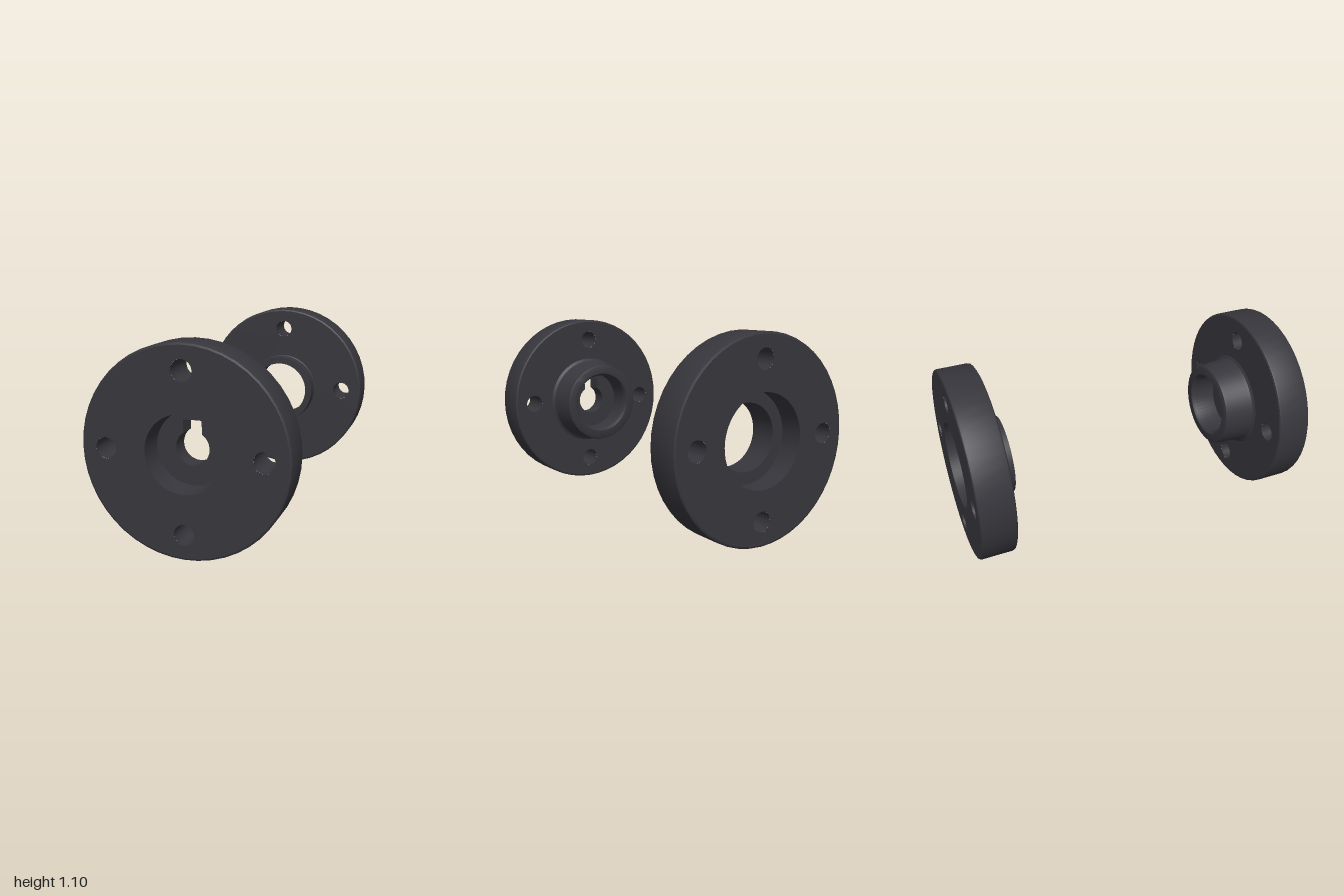
import * as THREE from 'three';
import { toCreasedNormals } from 'three/addons/utils/BufferGeometryUtils.js';

const R = 0.55, BEVEL = 0.012, BOLT_CIRCLE = 0.415, BOLT_R = 0.055, SEG = 48;
const material = new THREE.MeshStandardMaterial({ color: 0x37363c });

function mesh(name, geometry) {
  const m = new THREE.Mesh(geometry, material);
  m.name = name;
  return m;
}

// Profile points are (radius, z); revolved about the z axis
function turned(name, points, segments = SEG) {
  const g = new THREE.LatheGeometry(points.map(([r, z]) => new THREE.Vector2(r, z)), segments);
  g.rotateX(Math.PI / 2);
  return mesh(name, toCreasedNormals(g, 0.6));
}

function circle(r, x = 0, y = 0) {
  return new THREE.Path().absarc(x, y, r, 0, Math.PI * 2, true);
}

const boltCentres = [0, 1, 2, 3].map((i) => {
  const a = i * Math.PI / 2;
  return [BOLT_CIRCLE * Math.cos(a), BOLT_CIRCLE * Math.sin(a)];
});

// Flat annular face with four bolt holes
function face(name, innerR, z, facesBack) {
  const s = new THREE.Shape().absarc(0, 0, R - BEVEL, 0, Math.PI * 2, false);
  s.holes.push(circle(innerR), ...boltCentres.map(([x, y]) => circle(BOLT_R, x, y)));
  const g = new THREE.ShapeGeometry(s, SEG / 2);
  if (facesBack) g.rotateY(Math.PI);
  g.translate(0, 0, z);
  return mesh(name, g);
}

// Disc body: two faces, softened rim and bolt hole walls
function disc(z0, z1, backHole, frontHole) {
  const g = new THREE.Group();
  g.name = 'disc';
  g.add(face('frontFace', frontHole, z1, false), face('backFace', backHole, z0, true));
  g.add(turned('rim', [[R - BEVEL, z0], [R - 0.003, z0 + 0.004], [R, z0 + BEVEL],
    [R, z1 - BEVEL], [R - 0.003, z1 - 0.004], [R - BEVEL, z1]]));
  for (const [x, y] of boltCentres) {
    const hole = turned('boltHole', [[BOLT_R, z1], [BOLT_R, z0]], 24);
    hole.position.set(x, y, 0);
    g.add(hole);
  }
  return g;
}

// Web across the hub with a round bore and a square keyway above it
function keyedWeb(z0, z1) {
  const bore = 0.09, half = 0.05, top = 0.145, a = Math.acos(half / bore);
  const s = new THREE.Shape().absarc(0, 0, 0.2, 0, Math.PI * 2, false);
  const key = new THREE.Path();
  key.moveTo(half, top);
  key.lineTo(half, bore * Math.sin(a));
  key.absarc(0, 0, bore, a, Math.PI - a, true);
  key.lineTo(-half, top);
  key.closePath();
  s.holes.push(key);
  const g = new THREE.ExtrudeGeometry(s, { depth: z1 - z0, bevelEnabled: false, curveSegments: 24 });
  g.translate(0, 0, z0);
  return mesh('keyedWeb', toCreasedNormals(g, 0.6));
}

export function createModel() {
  const model = new THREE.Group();

  // Front flange: recessed face, keyed web, tapered hub pointing back
  const hubFlange = new THREE.Group();
  hubFlange.name = 'hubFlange';
  hubFlange.add(
    disc(0.8, 1, 0.285, 0.203),
    turned('hub', [[0.203, 1], [0.196, 0.87], [0.185, 0.77], [0.182, 0.635], [0.195, 0.615],
      [0.242, 0.615], [0.249, 0.619], [0.253, 0.63], [0.263, 0.775], [0.269, 0.79], [0.285, 0.8]]),
    keyedWeb(0.77, 0.87),
  );

  // Rear flange: counterbored from behind, short collar pointing forward
  const collarFlange = new THREE.Group();
  collarFlange.name = 'collarFlange';
  collarFlange.add(
    disc(-1, -0.8, 0.25, 0.23),
    turned('collar', [[0.23, -0.8], [0.224, -0.794], [0.224, -0.715], [0.182, -0.715],
      [0.182, -0.87], [0.25, -0.87], [0.25, -1]]),
  );

  model.add(hubFlange, collarFlange);
  for (const flange of model.children) flange.position.y = R;
  return model;
}
